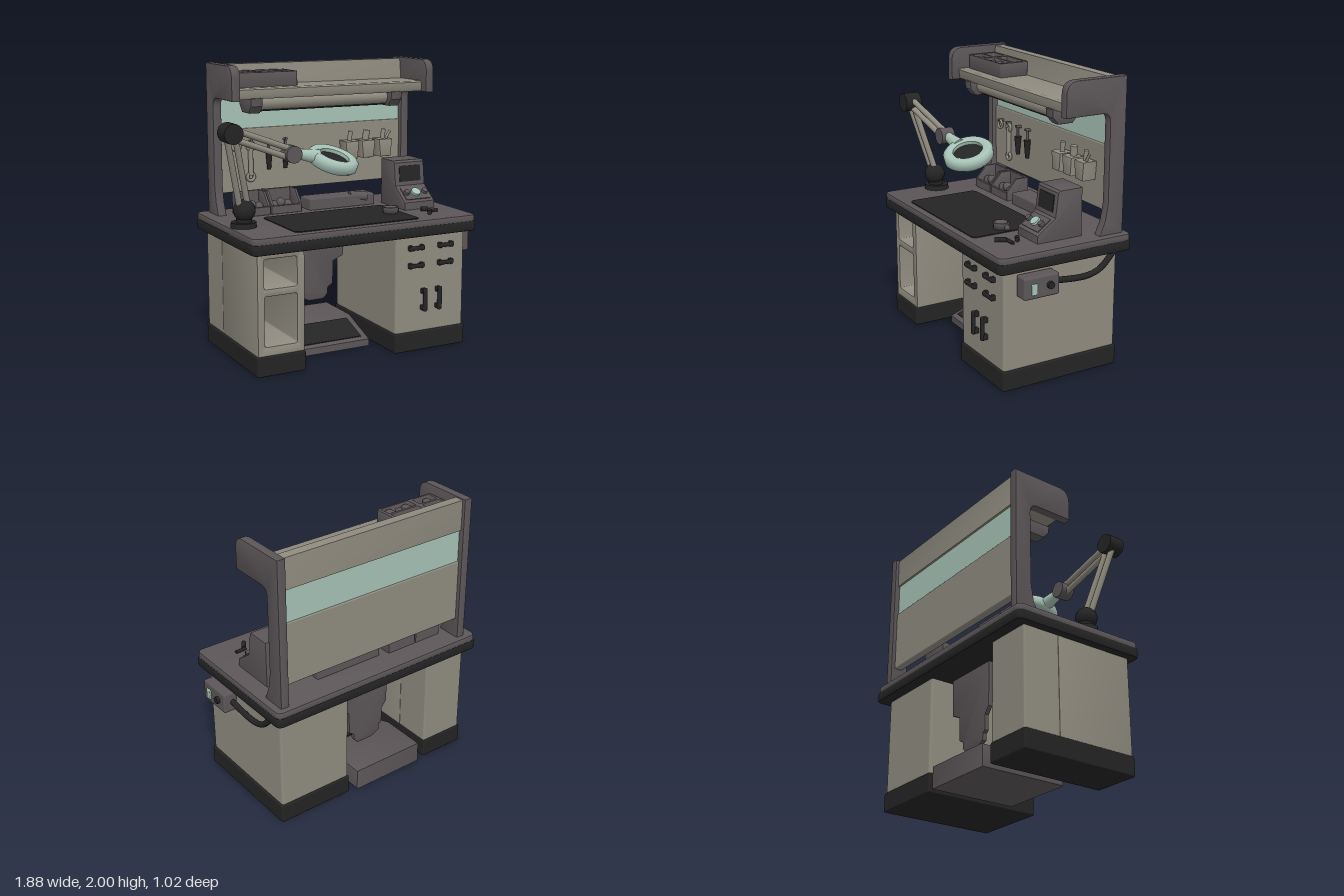
import * as THREE from 'three';
import { toCreasedNormals } from 'three/addons/utils/BufferGeometryUtils.js';
import { RoundedBoxGeometry } from 'three/addons/geometries/RoundedBoxGeometry.js';

const V = (x, y, z) => new THREE.Vector3(x, y, z);

export function createModel() {
  const mat = (name, color) => Object.assign(new THREE.MeshStandardMaterial({ color }), { name });
  const beige = mat('beige', 0x8f8b7f);
  const grey = mat('warm grey', 0x5c5658);
  const black = mat('black', 0x242424);
  const mint = mat('mint', 0xa6c2b6);
  const model = new THREE.Group();

  const add = (name, geo, m, x = 0, y = 0, z = 0, parent = model) => {
    const mesh = new THREE.Mesh(geo, m);
    mesh.name = name;
    mesh.position.set(x, y, z);
    parent.add(mesh);
    return mesh;
  };
  // Rounded box given by its extents
  const box = (name, m, x0, x1, y0, y1, z0, z1, r = 0.012) =>
    add(name, new RoundedBoxGeometry(x1 - x0, y1 - y0, z1 - z0, 2, r), m, (x0 + x1) / 2, (y0 + y1) / 2, (z0 + z1) / 2);
  const extrude = (shape, depth, bevel) => {
    const g = new THREE.ExtrudeGeometry(shape, {
      depth: depth - 2 * bevel, bevelEnabled: bevel > 0, bevelSize: bevel, bevelThickness: bevel,
      bevelOffset: -bevel, bevelSegments: 2, curveSegments: 8,
    });
    return toCreasedNormals(g.translate(0, 0, bevel), 0.6);
  };
  const poly = (pts) => new THREE.Shape(pts.map((p) => new THREE.Vector2(...p)));
  const rect = (x0, x1, y0, y1, r = 0, S = THREE.Shape) => {
    const s = new S();
    s.moveTo(x0 + r, y0).lineTo(x1 - r, y0);
    s.quadraticCurveTo(x1, y0, x1, y0 + r).lineTo(x1, y1 - r);
    s.quadraticCurveTo(x1, y1, x1 - r, y1).lineTo(x0 + r, y1);
    s.quadraticCurveTo(x0, y1, x0, y1 - r).lineTo(x0, y0 + r);
    s.quadraticCurveTo(x0, y0, x0 + r, y0);
    return s;
  };
  // Side profile in (z, y), swept across x
  const profile = (name, m, shape, x0, x1, bevel = 0.01) =>
    add(name, extrude(shape, x1 - x0, bevel).rotateY(-Math.PI / 2), m, x1);
  // Plan outline in (x, -z), raised from y0 to y1
  const slab = (name, m, shape, y0, y1, bevel = 0.01) =>
    add(name, extrude(shape, y1 - y0, bevel).rotateX(-Math.PI / 2), m, 0, y0);
  const rod = (name, m, a, b, r, r2 = r, sides = 14) => {
    const mid = a.clone().add(b).multiplyScalar(0.5);
    const mesh = add(name, new THREE.CylinderGeometry(r2, r, a.distanceTo(b), sides), m, mid.x, mid.y, mid.z);
    mesh.quaternion.setFromUnitVectors(V(0, 1, 0), b.clone().sub(a).normalize());
    return mesh;
  };
  const ball = (name, m, x, y, z, r) => add(name, new THREE.SphereGeometry(r, 18, 12), m, x, y, z);

  // Worktop and mat
  slab('worktopEdge', black, rect(-0.84, 0.88, -0.51, 0.51, 0.05), 0.83, 0.905, 0.014);
  slab('worktop', grey, rect(-0.835, 0.875, -0.505, 0.505, 0.05), 0.89, 0.946, 0.012);
  slab('workMat', black, rect(-0.51, 0.44, -0.455, 0.08, 0.04), 0.944, 0.952, 0);

  // Open pedestal with two cubbies
  const frame = rect(-0.785, -0.445, 0.13, 0.84, 0.01);
  frame.holes.push(rect(-0.735, -0.5, 0.2, 0.54, 0.015, THREE.Path), rect(-0.735, -0.5, 0.59, 0.79, 0.015, THREE.Path));
  add('shelfPedestal', extrude(frame, 0.6, 0.006), beige, 0, 0, -0.155);
  box('shelfPedestalBack', beige, -0.785, -0.445, 0.13, 0.84, -0.43, -0.15);
  box('shelfPedestalBase', black, -0.795, -0.44, 0, 0.14, -0.437, 0.455);

  // Drawer pedestal with handles
  box('drawerPedestal', beige, 0.255, 0.815, 0.13, 0.84, -0.43, 0.445, 0.02);
  box('drawerPedestalBase', black, 0.25, 0.825, 0, 0.14, -0.437, 0.455);
  for (const y of [0.62, 0.745]) for (const x of [0.41, 0.65]) {
    box('drawerHandle', black, x - 0.06, x + 0.06, y - 0.015, y + 0.015, 0.46, 0.482);
    for (const s of [-0.045, 0.045]) box('handleMount', black, x + s - 0.014, x + s + 0.014, y - 0.019, y + 0.019, 0.44, 0.475, 0.006);
  }
  for (const x of [0.475, 0.595]) {
    box('doorHandle', black, x - 0.016, x + 0.016, 0.285, 0.455, 0.465, 0.492);
    for (const y of [0.31, 0.43]) box('handleMount', black, x - 0.019, x + 0.019, y - 0.018, y + 0.018, 0.44, 0.48, 0.006);
  }

  // Hanging apron below the worktop
  const apron = poly([[-0.21, 0.84], [-0.205, 0.51], [-0.165, 0.46], [-0.165, 0.35], [-0.145, 0.335], [-0.14, 0.285], [-0.07, 0.25],
    [0.05, 0.25], [0.085, 0.285], [0.09, 0.335], [0.13, 0.36], [0.135, 0.53], [0.215, 0.565], [0.225, 0.84]]);
  add('apron', extrude(apron, 0.035, 0.008), grey, 0, 0, -0.28);

  // Foot rest
  profile('footRest', grey, poly([[0.2, 0], [0.2, 0.05], [-0.1, 0.155], [-0.45, 0.155], [-0.45, 0]]), -0.38, 0.19);
  add('footRestPad', new THREE.BoxGeometry(0.48, 0.009, 0.23), black, -0.1, 0.103, 0.055).rotation.x = 0.337;

  // Control box on the side, with cable
  box('controlBox', grey, 0.815, 0.92, 0.65, 0.8, 0.09, 0.355, 0.015);
  box('controlSwitch', mint, 0.91, 0.93, 0.68, 0.755, 0.26, 0.305, 0.006);
  rod('controlKnob', black, V(0.91, 0.73, 0.165), V(0.942, 0.73, 0.165), 0.025);
  const cable = new THREE.CatmullRomCurve3([V(0.85, 0.725, 0.1), V(0.85, 0.71, 0), V(0.85, 0.705, -0.18), V(0.85, 0.74, -0.28), V(0.85, 0.84, -0.38)]);
  add('cable', new THREE.TubeGeometry(cable, 24, 0.021, 10), black);

  // Uprights with forward arms
  const upright = new THREE.Shape();
  upright.moveTo(-0.465, 0.935).lineTo(-0.275, 0.935).lineTo(-0.32, 1.04).lineTo(-0.34, 1.16).lineTo(-0.34, 1.7);
  upright.quadraticCurveTo(-0.34, 1.765, -0.28, 1.765).lineTo(0, 1.765).lineTo(0, 1.91);
  upright.quadraticCurveTo(0, 2, -0.09, 2).lineTo(-0.465, 2).lineTo(-0.465, 0.935);
  profile('uprightRight', grey, upright, -0.755, -0.69);
  profile('uprightLeft', grey, upright, 0.76, 0.825);

  // Back panels and top shelf
  box('toolPanel', beige, -0.7, 0.77, 1.085, 1.535, -0.435, -0.375, 0.008);
  box('lightPanel', mint, -0.7, 0.77, 1.53, 1.775, -0.425, -0.385, 0.004);
  profile('topShelf', beige, poly([[-0.44, 1.77], [-0.07, 1.77], [-0.06, 1.79], [-0.06, 1.835], [-0.075, 1.845],
    [-0.35, 1.845], [-0.37, 1.99], [-0.44, 1.99]]), -0.7, 0.77, 0.006);

  // Strip light below the shelf
  rod('stripLightHood', beige, V(-0.53, 1.735, -0.155), V(0.53, 1.735, -0.155), 0.05);
  rod('stripLightTube', black, V(-0.53, 1.69, -0.155), V(0.53, 1.69, -0.155), 0.014);
  for (const x of [-0.55, 0.545])
    profile('stripLightBracket', grey, poly([[-0.05, 1.775], [-0.055, 1.72], [-0.1, 1.67], [-0.21, 1.67], [-0.255, 1.72], [-0.26, 1.775]]), x - 0.045, x + 0.045);

  // Divided parts tray on the shelf
  const tray = rect(-0.67, -0.205, 0.13, 0.355, 0.015);
  for (const [a, b] of [[-0.65, -0.5], [-0.465, -0.23]])
    for (const [c, d] of [[0.145, 0.23], [0.25, 0.335]]) tray.holes.push(rect(a, b, c, d, 0.01, THREE.Path));
  slab('partsTray', grey, tray, 1.84, 1.945, 0.004);
  box('trayFloor', grey, -0.66, -0.215, 1.84, 1.875, -0.345, -0.14, 0.004);
  for (const [x, z] of [[-0.6, -0.19], [-0.42, -0.18], [-0.35, -0.2], [-0.28, -0.18]])
    box('trayPart', grey, x - 0.025, x + 0.025, 1.87, 1.935, z - 0.03, z + 0.03);

  // Tools hung on the panel
  for (const x of [-0.58, -0.47, -0.33, -0.2]) rod('toolHook', grey, V(x, 1.44, -0.38), V(x, 1.45, -0.33), 0.01);
  for (const x of [-0.33, -0.2]) {
    rod('toolGrip', black, V(x, 1.235, -0.35), V(x, 1.37, -0.35), 0.014, 0.026);
    rod('toolShaft', grey, V(x, 1.36, -0.35), V(x, 1.45, -0.35), 0.009);
  }
  rod('wrenchShaft', beige, V(-0.47, 1.2, -0.355), V(-0.47, 1.41, -0.355), 0.018);
  for (const y of [1.19, 1.41]) add('wrenchRing', new THREE.TorusGeometry(0.026, 0.012, 8, 16), beige, -0.47, y, -0.355);
  add('hangingRing', new THREE.TorusGeometry(0.03, 0.01, 8, 16), beige, -0.58, 1.415, -0.345);

  // Pouches with tool handles
  [0.305, 0.44, 0.585].forEach((x, i) => {
    add('pouch', extrude(poly([[-0.045, 1.275], [0.045, 1.275], [0.057, 1.405], [-0.057, 1.405]]), 0.11, 0.01), beige, x, 0, -0.375);
    rod('pouchTool', beige, V(x, 1.39, -0.32), V(x + 0.01, 1.475, -0.32), 0.017 + 0.008 * (i === 1));
  });
  rod('pouchSideTool', beige, V(0.6, 1.39, -0.31), V(0.645, 1.46, -0.31), 0.01);

  // Sloped bins at the back of the worktop
  for (const [a, b] of [[-0.625, -0.41], [-0.4, -0.165]]) {
    for (const [c, d] of [[a, a + 0.018], [b - 0.018, b]])
      profile('binSide', grey, poly([[-0.16, 0.94], [-0.16, 1.01], [-0.24, 1.1], [-0.34, 1.1], [-0.34, 0.94]]), c, d, 0.004);
    box('binFloor', grey, a, b, 0.94, 0.965, -0.34, -0.16, 0.005);
    box('binFront', grey, a, b, 0.945, 1.005, -0.178, -0.158, 0.005);
    box('binBack', grey, a, b, 0.945, 1.1, -0.34, -0.32, 0.005);
    for (let i = 0; i < 3; i++) ball('binPart', grey, a + 0.05 + i * 0.055, 0.995 + 0.015 * (i % 2), -0.24, 0.034);
  }

  // Long flat case with a knob
  box('flatCase', grey, -0.1, 0.43, 0.94, 1.03, -0.32, -0.16);
  rod('flatCaseKnob', grey, V(0.24, 1.02, -0.2), V(0.37, 1.005, -0.18), 0.035);

  // Instrument with screen and keypad
  profile('instrument', grey, poly([[0.155, 0.94], [0.155, 1], [0.02, 1.1], [0, 1.265], [-0.015, 1.28], [-0.19, 1.28], [-0.19, 0.94]]), 0.5, 0.75);
  add('screen', new THREE.BoxGeometry(0.175, 0.115, 0.008), black, 0.625, 1.185, 0.01).rotation.x = -0.121;
  const keypad = new THREE.Group();
  keypad.name = 'keypad';
  keypad.position.set(0.625, 1.05, 0.0875);
  keypad.rotation.x = 0.637;
  model.add(keypad);
  add('keypadPlate', new THREE.BoxGeometry(0.2, 0.008, 0.12), grey, 0, 0.003, 0, keypad);
  add('keypadDial', new THREE.CylinderGeometry(0.034, 0.036, 0.025, 18), mint, 0, 0.012, 0, keypad);
  for (const s of [-1, 1]) add('keypadKnob', new THREE.CylinderGeometry(0.02, 0.022, 0.03, 14), grey, s * 0.075, 0.014, 0, keypad);

  // Loose items on the worktop
  const cup = [[0, 0], [0.055, 0], [0.06, 0.045], [0.045, 0.045], [0.04, 0.012], [0, 0.012]];
  add('cup', new THREE.LatheGeometry(cup.map((p) => new THREE.Vector2(...p)), 8), grey, 0.355, 0.95, 0.195);
  box('cupSpout', grey, 0.385, 0.43, 0.952, 0.985, 0.165, 0.2);
  rod('looseTool', black, V(0.57, 0.963, 0.37), V(0.61, 0.963, 0.305), 0.016);
  rod('looseToolHead', black, V(0.6, 0.96, 0.3), V(0.68, 0.96, 0.295), 0.012);
  rod('looseBolt', black, V(0.595, 0.96, 0.215), V(0.64, 0.96, 0.24), 0.016);

  // Magnifier arm
  const foot = V(-0.735, 1.06, 0.135), elbow = V(-0.875, 1.595, 0.255), wrist = V(-0.42, 1.425, 0.205);
  rod('armBase', black, V(-0.735, 0.94, 0.12), V(-0.735, 0.98, 0.12), 0.09, 0.085, 24);
  rod('armBaseNeck', black, V(-0.735, 0.97, 0.125), foot, 0.055);
  ball('armBaseJoint', black, foot.x, foot.y, foot.z, 0.075);
  rod('armElbow', black, elbow.clone().add(V(0, 0, -0.06)), elbow.clone().add(V(0, 0, 0.06)), 0.067, 0.067, 20);
  rod('armWrist', grey, wrist.clone().add(V(0, 0, -0.05)), wrist.clone().add(V(0, 0, 0.05)), 0.058, 0.058, 20);
  for (const [a, b] of [[foot, elbow], [elbow, wrist]]) {
    const dir = b.clone().sub(a).normalize();
    const side = dir.clone().cross(V(0, 0, 1)).normalize().multiplyScalar(0.029);
    for (const s of [-1, 1])
      rod('armRod', beige, a.clone().addScaledVector(side, s), b.clone().addScaledVector(side, s), 0.021);
  }

  // Ring magnifier
  rod('magnifierHandle', mint, V(-0.38, 1.425, 0.2), V(-0.22, 1.39, 0.195), 0.033, 0.052);
  const head = new THREE.Group();
  head.name = 'magnifier';
  head.position.set(-0.1, 1.36, 0.19);
  head.quaternion.setFromUnitVectors(V(0, 1, 0), V(0.2, 1, 0.33).normalize());
  model.add(head);
  const ring = [[0.105, -0.035], [0.12, -0.045], [0.155, -0.045], [0.175, -0.025], [0.175, 0.025], [0.155, 0.045], [0.12, 0.045], [0.105, 0.035], [0.105, -0.035]];
  add('magnifierRing', toCreasedNormals(new THREE.LatheGeometry(ring.map((p) => new THREE.Vector2(...p)), 36), 0.8), mint, 0, 0, 0, head);
  add('magnifierLens', new THREE.CylinderGeometry(0.108, 0.108, 0.02, 32), black, 0, 0, 0, head);
  return model;
}
